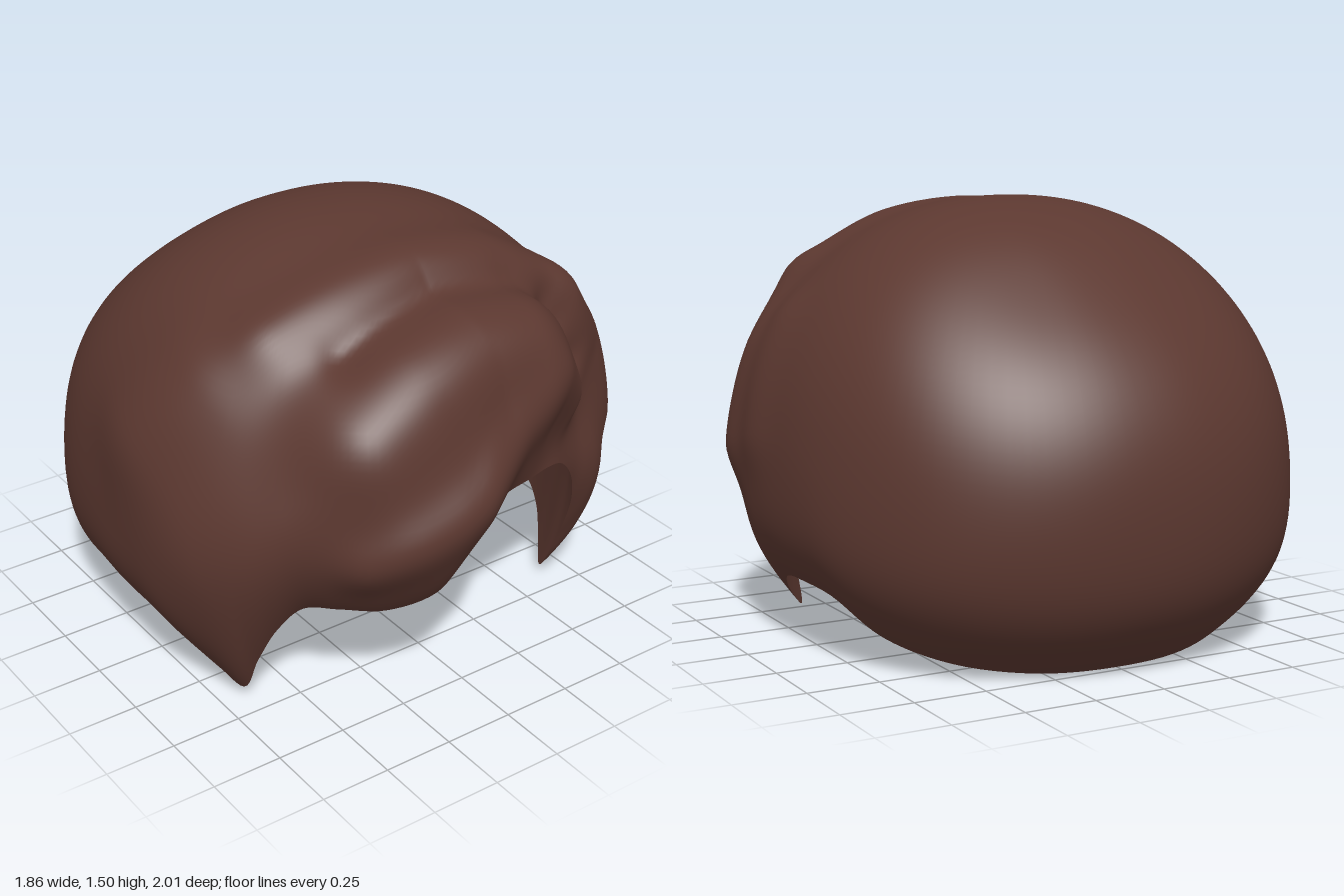
import * as THREE from 'three';

const CENTER = new THREE.Vector3(0, 0.6, 0);
const UP = new THREE.Vector3(0, 1, 0);
const v = (p) => new THREE.Vector3(...p);

// Radius of the plain cap along a direction from CENTER: round in profile, fuller at the sides
function baseRadius(d) {
  const depth = d.z > 0 ? 0.95 : 1.0;
  const profile = (d.y / 0.91) ** 2 + (d.z / depth) ** 2;
  return (Math.abs(d.x / 0.915) ** 2.2 + profile ** 1.1) ** (-1 / 2.2);
}
const onBase = (p) => {
  const d = v(p).sub(CENTER).normalize();
  return d.multiplyScalar(baseRadius(d));
};

// Wavy locks: [height, width, path points]; negative heights are grooves
const locks = [
  // crown sweep and the groove in front of it
  [0.05, 0.13, [[-0.5, 1.28, 0.36], [0, 1.42, 0.38], [0.3, 1.35, 0.38], [0.48, 1.2, 0.4]]],
  [0.055, 0.22, [[-0.84, 0.95, 0.12], [-0.7, 1.15, 0.24]]],
  [-0.035, 0.07, [[-0.35, 1.24, 0.54], [0, 1.36, 0.52], [0.3, 1.27, 0.5], [0.48, 1.12, 0.52]]],
  // upper fringe roll
  [0.14, 0.21, [[-0.4, 1.07, 0.74], [-0.2, 1.17, 0.72], [0.02, 1.22, 0.7], [0.2, 1.17, 0.66]]],
  // brow swell and its crest above the hairline
  [0.065, 0.24, [[-0.28, 0.75, 0.85], [-0.13, 0.85, 0.9]]],
  [0.045, 0.1, [[-0.45, 0.68, 0.8], [-0.1, 0.82, 0.9], [0.1, 0.97, 0.83], [0.3, 1.04, 0.75], [0.45, 0.93, 0.7]]],
  // fuller right-hand side of the front
  [0.04, 0.24, [[-0.8, 0.65, 0.42], [-0.62, 0.75, 0.62]]],
  // flattened parting on the other side
  [-0.09, 0.23, [[0.58, 0.8, 0.65], [0.42, 0.8, 0.78]]],
  [-0.05, 0.07, [[0.45, 1.16, 0.5], [0.56, 1.0, 0.56]]],
  // temple locks
  [0.06, 0.13, [[0.56, 1.12, 0.45], [0.74, 0.95, 0.38], [0.84, 0.66, 0.38]]],
  [0.025, 0.13, [[0.72, 1.04, 0.16], [0.89, 0.72, 0.14]]],
  // flatter upper back, fuller band that rolls under above the nape
  [-0.055, 0.4, [[-0.2, 1.22, -0.62], [0.2, 1.22, -0.62]]],
  [0.03, 0.22, [[-0.86, 0.36, 0.15], [-0.85, 0.35, -0.3], [-0.6, 0.3, -0.7], [0, 0.24, -0.93],
    [0.6, 0.3, -0.7], [0.85, 0.35, -0.3], [0.86, 0.36, 0.15]]],
].map(([height, width, path]) => ({ height, width, path: path.map(onBase) }));

const line = new THREE.Line3();
const near = new THREE.Vector3();
function hairRadius(d) {
  const r = baseRadius(d);
  const p = d.clone().multiplyScalar(r);
  let sum = 0;
  for (const { height, width, path } of locks) {
    let dist = Infinity;
    for (let i = 0; i + 1 < path.length; i++) {
      line.set(path[i], path[i + 1]).closestPointToPoint(p, true, near);
      dist = Math.min(dist, near.distanceTo(p));
    }
    sum += height * Math.exp(-((dist / width) ** 2));
  }
  return r + sum;
}

// Smooth hollow that fits the head
const liningRadius = (d) => 0.87 * baseRadius(d);

// Hairline: sideburn, swept front arch, other sideburn, ear, nape, ear
const hairline = [
  [-0.67, 0.045, 0.41], [-0.66, 0.2, 0.49], [-0.63, 0.36, 0.57], [-0.57, 0.45, 0.63],
  [-0.48, 0.45, 0.7], [-0.35, 0.44, 0.78], [-0.2, 0.49, 0.85], [-0.1, 0.57, 0.85],
  [0, 0.68, 0.84], [0.1, 0.73, 0.81], [0.22, 0.74, 0.79], [0.35, 0.73, 0.75],
  [0.45, 0.68, 0.7], [0.55, 0.56, 0.64], [0.6, 0.42, 0.59], [0.62, 0.23, 0.51],
  [0.63, 0.045, 0.41], [0.69, 0.09, 0.33], [0.76, 0.17, 0.23], [0.8, 0.225, 0.12],
  [0.81, 0.24, -0.04], [0.78, 0.22, -0.2], [0.68, 0.11, -0.38], [0.52, 0.045, -0.56],
  [0.28, 0.01, -0.68], [0, 0.003, -0.72], [-0.28, 0.01, -0.68], [-0.52, 0.045, -0.56],
  [-0.68, 0.11, -0.38], [-0.78, 0.22, -0.2], [-0.81, 0.24, -0.04], [-0.8, 0.225, 0.12],
  [-0.77, 0.17, 0.23], [-0.71, 0.09, 0.33],
];

// Shell swept along meridians from the crown down to the hairline
function shellGeometry(radius, tuckStart, inward, columns = 204, rows = 64) {
  const curve = new THREE.CatmullRomCurve3(hairline.map(v), true, 'centripetal');
  const positions = CENTER.clone().addScaledVector(UP, radius(UP)).toArray();
  const index = [];
  const at = (i, j) => (i === 0 ? 0 : 1 + (j % columns) * rows + i - 1);
  const face = (a, b, c) => (inward ? index.push(a, c, b) : index.push(a, b, c));

  for (let j = 0; j < columns; j++) {
    const rim = curve.getPoint(j / columns).sub(CENTER);
    const rimDir = rim.clone().normalize();
    const axis = UP.clone().cross(rimDir).normalize();
    const angle = UP.angleTo(rimDir);
    const tuck = rim.length() / radius(rimDir);
    for (let i = 1; i <= rows; i++) {
      const t = i / rows;
      const d = UP.clone().applyAxisAngle(axis, angle * t);
      const blend = Math.max(0, (t - tuckStart) / (1 - tuckStart)) ** 2;
      const r = radius(d) * THREE.MathUtils.lerp(1, tuck, blend);
      positions.push(...d.multiplyScalar(r).add(CENTER).toArray());
    }
    face(0, at(1, j), at(1, j + 1));
    for (let i = 1; i < rows; i++) {
      const a = at(i, j), b = at(i + 1, j), c = at(i + 1, j + 1), e = at(i, j + 1);
      face(a, b, e);
      face(b, c, e);
    }
  }
  const geometry = new THREE.BufferGeometry();
  geometry.setAttribute('position', new THREE.Float32BufferAttribute(positions, 3));
  geometry.setIndex(index);
  geometry.computeVertexNormals();
  return geometry;
}

export function createModel() {
  const group = new THREE.Group();
  group.name = 'wig';
  const brown = new THREE.MeshStandardMaterial({ color: 0x5c3830 });
  brown.name = 'dark brown';
  const hair = new THREE.Mesh(shellGeometry(hairRadius, 0.72, false), brown);
  hair.name = 'hair';
  const lining = new THREE.Mesh(shellGeometry(liningRadius, 0.75, true), brown);
  lining.name = 'lining';
  group.add(hair, lining);
  return group;
}
